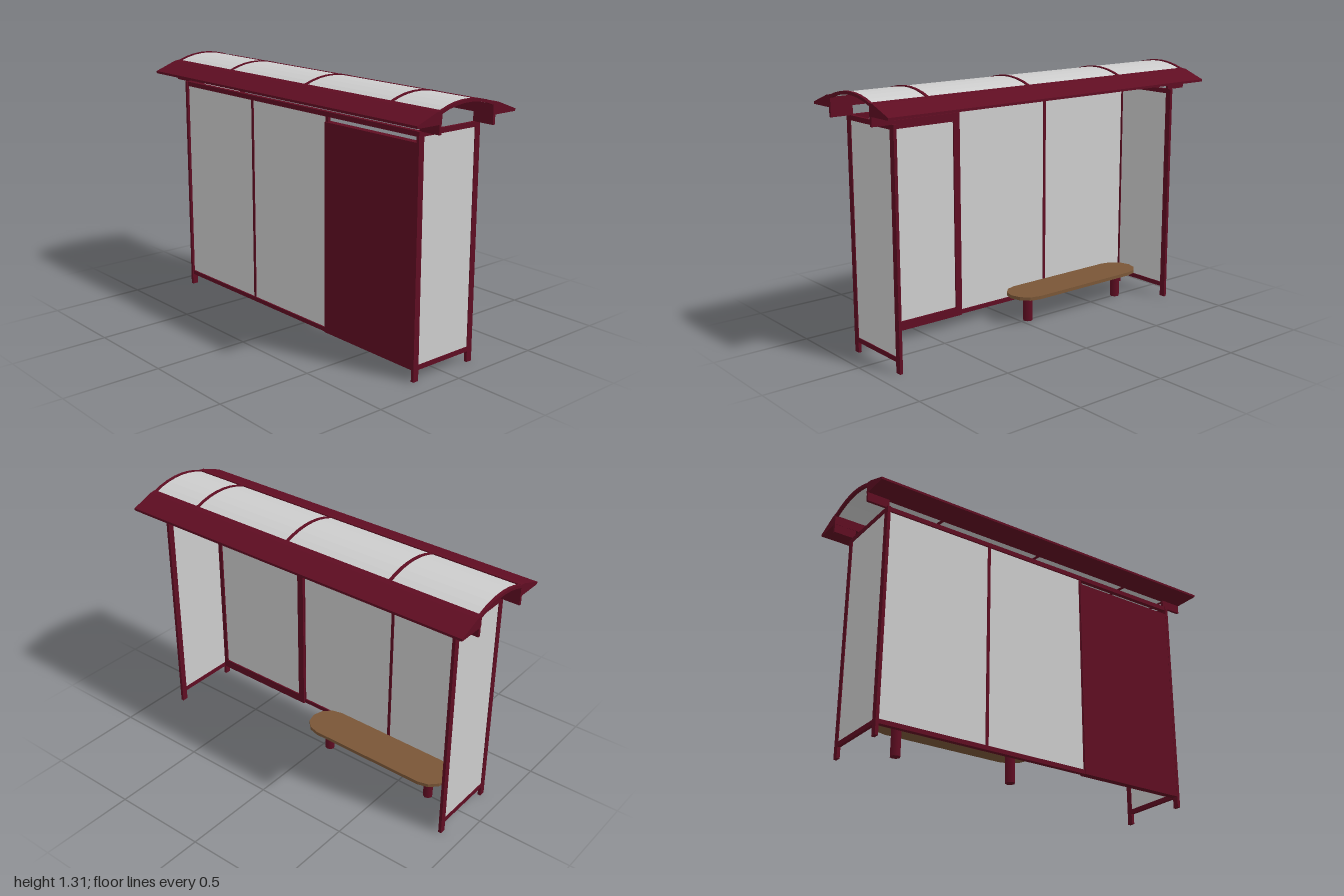
import * as THREE from 'three';

export function createModel() {
  const model = new THREE.Group();
  model.name = 'shelter';

  const mat = (name, color) => {
    const m = new THREE.MeshStandardMaterial({ color });
    m.name = name;
    return m;
  };
  const red = mat('darkRedPaint', 0x5f0d22);
  const glass = mat('paleGlass', 0xcccccc);
  const wood = mat('brownWood', 0x7a5637);

  const add = (name, geometry, material, parent = model) => {
    const mesh = new THREE.Mesh(geometry, material);
    mesh.name = name;
    parent.add(mesh);
    return mesh;
  };
  // Box given by its lower and upper limits on each axis
  const box = (name, material, x0, x1, y0, y1, z0, z1, parent) => {
    const g = new THREE.BoxGeometry(x1 - x0, y1 - y0, z1 - z0);
    g.translate((x0 + x1) / 2, (y0 + y1) / 2, (z0 + z1) / 2);
    return add(name, g, material, parent);
  };
  // Flat outline in x and y, stretched along z
  const prism = (name, material, points, z0, z1, parent) => {
    const shape = new THREE.Shape(points.map(([x, y]) => new THREE.Vector2(x, y)));
    const g = new THREE.ExtrudeGeometry(shape, { depth: z1 - z0, bevelEnabled: false });
    g.translate(0, 0, z0);
    return add(name, g, material, parent);
  };

  // End walls: two posts, two rails and a pane each
  for (const s of [1, -1]) {
    const wall = new THREE.Group();
    wall.name = s > 0 ? 'frontEndWall' : 'backEndWall';
    model.add(wall);
    const z0 = s * 0.89 - 0.008, z1 = s * 0.89 + 0.008;
    box('leftPost', red, 0.165, 0.197, 0, 1.175, z0, z1, wall);
    box('rightPost', red, -0.197, -0.165, 0, 1.175, z0, z1, wall);
    box('bottomRail', red, -0.165, 0.165, 0.055, 0.079, z0, z1, wall);
    box('topRail', red, -0.165, 0.165, 1.151, 1.175, z0, z1, wall);
    box('endPane', glass, -0.165, 0.165, 0.079, 1.151, s * 0.89 - 0.004, s * 0.89 + 0.004, wall);
  }

  // Long wall: rails, mullions and two panes
  box('wallTopRail', red, -0.192, -0.168, 1.151, 1.175, -0.882, 0.882);
  box('wallBottomRail', red, -0.192, -0.168, 0.058, 0.08, -0.882, 0.882);
  for (const z of [-0.305, 0.278]) {
    box('mullion', red, -0.188, -0.172, 0.08, 1.151, z - 0.008, z + 0.008);
  }
  box('wallPane', glass, -0.184, -0.176, 0.08, 1.151, -0.882, -0.313);
  box('wallPane', glass, -0.184, -0.176, 0.08, 1.151, -0.297, 0.27);

  // Display case: solid back, raised frame and pale face
  const display = new THREE.Group();
  display.name = 'displayCase';
  model.add(display);
  box('caseBack', red, -0.196, -0.174, 0.057, 1.125, 0.272, 0.882, display);
  box('caseSide', red, -0.174, -0.158, 0.057, 1.125, 0.272, 0.309, display);
  box('caseSide', red, -0.174, -0.158, 0.057, 1.125, 0.858, 0.882, display);
  box('caseSill', red, -0.174, -0.158, 0.057, 0.104, 0.309, 0.858, display);
  box('caseHead', red, -0.174, -0.158, 1.082, 1.125, 0.309, 0.858, display);
  box('caseFace', glass, -0.174, -0.166, 0.104, 1.082, 0.309, 0.858, display);

  // Eaves, with a bracket at each end
  for (const s of [1, -1]) {
    const profile = [[0.165, 1.22], [0.315, 1.22], [0.315, 1.232], [0.195, 1.277], [0.165, 1.281]];
    prism('eave', red, profile.map(([x, y]) => [s * x, y]), -1, 1);
    for (const e of [1, -1]) {
      const b = add('eaveBracket', new THREE.BoxGeometry(0.014, 0.046, 0.117), red);
      b.position.set(s * 0.173, 1.197, e * 0.9405);
    }
  }

  // Arched roof: glass sheet with ribs
  const arc = (top, base, n = 7) => {
    const h = top - base, w = 0.168;
    const r = (w * w + h * h) / (2 * h), a = Math.asin(w / r);
    return Array.from({ length: n + 1 }, (_, i) => {
      const t = a * (2 * i / n - 1);
      return [r * Math.sin(t), top - r + r * Math.cos(t)];
    });
  };
  const arch = (top, base, thick) => {
    const outer = arc(top, base);
    return [...outer, ...outer.map(([x, y]) => [x, y - thick]).reverse()];
  };
  prism('roofGlass', glass, arch(1.307, 1.274, 0.006), -0.99, 0.99);
  for (const z of [-0.992, -0.515, 0.093, 0.69, 0.992]) {
    prism('roofRib', red, arch(1.312, 1.279, 0.015), z - 0.008, z + 0.008);
  }

  // Bench seat with faceted round ends
  const r = 0.108, half = 0.4325, midZ = -0.3625, outline = [];
  for (const s of [1, -1]) {
    for (let i = 0; i <= 6; i++) {
      const t = Math.PI * i / 6;
      outline.push(new THREE.Vector2(s * r * Math.cos(t), -midZ + s * (half - r + r * Math.sin(t))));
    }
  }
  const seat = new THREE.ExtrudeGeometry(new THREE.Shape(outline), { depth: 0.018, bevelEnabled: false });
  seat.rotateX(-Math.PI / 2);
  seat.translate(0, 0.143, 0);
  add('benchSeat', seat, wood);

  // Bench legs
  for (const z of [-0.043, -0.685]) {
    const leg = new THREE.CylinderGeometry(0.025, 0.025, 0.143, 8);
    add('benchLeg', leg, red).position.set(0, 0.0715, z);
  }

  return model;
}
